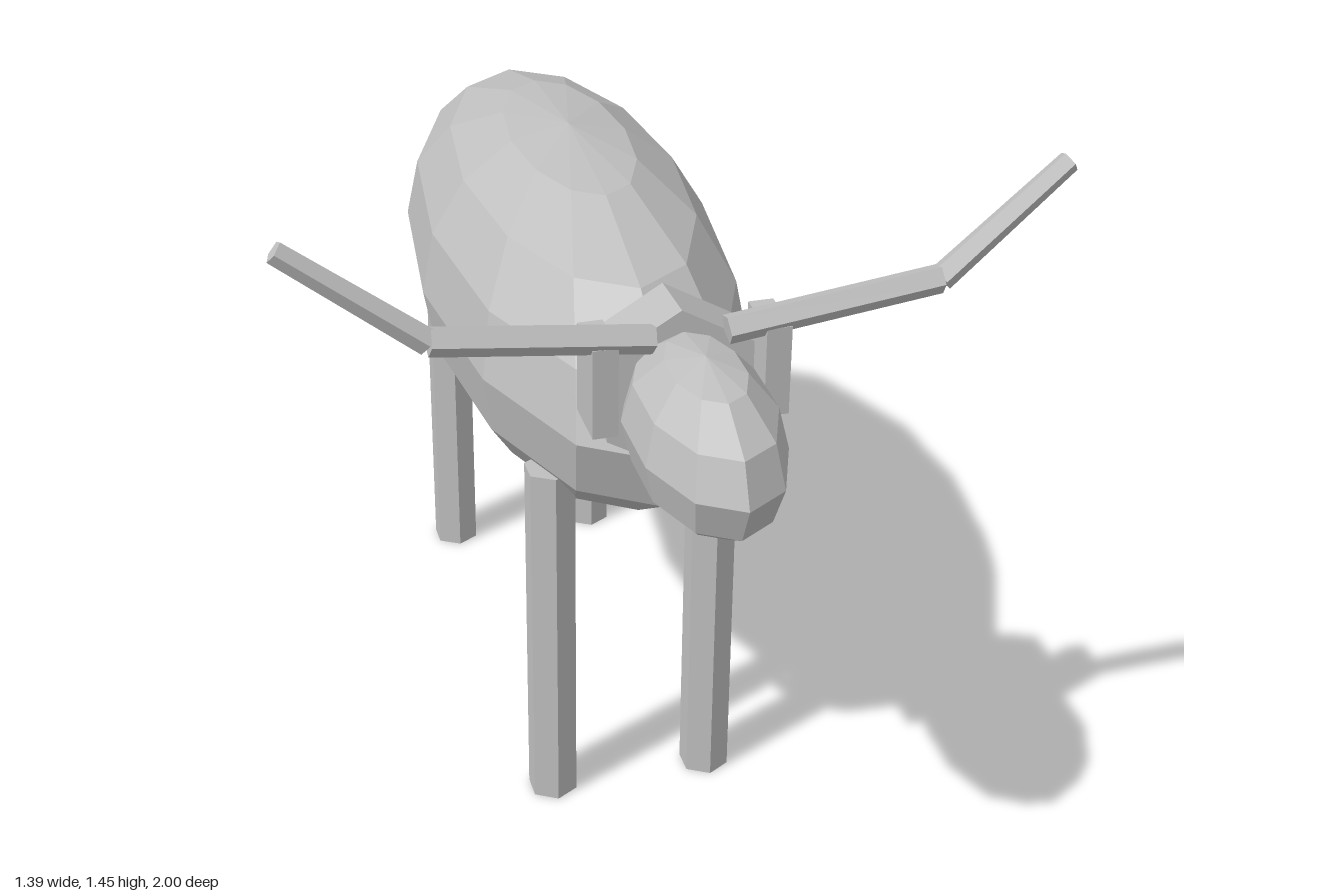
import * as THREE from 'three';

export function createModel() {
  const model = new THREE.Group();
  model.name = 'hornedAnimal';
  const grey = new THREE.MeshStandardMaterial({ color: 0xbfbfbf });
  grey.name = 'grey';
  grey.flatShading = true;

  const add = (name, geometry, x = 0, y = 0, z = 0) => {
    const mesh = new THREE.Mesh(geometry, grey);
    mesh.name = name;
    mesh.position.set(x, y, z);
    model.add(mesh);
    return mesh;
  };

  // Straight faceted rod between two points
  const rod = (name, from, to, r0, r1, sides) => {
    const a = new THREE.Vector3(...from), b = new THREE.Vector3(...to);
    const dir = b.clone().sub(a);
    const mesh = add(name, new THREE.CylinderGeometry(r1, r0, dir.length(), sides));
    mesh.position.copy(a).add(b).multiplyScalar(0.5);
    mesh.quaternion.setFromUnitVectors(new THREE.Vector3(0, 1, 0), dir.normalize());
    return mesh;
  };

  // Body and head: stretched low-poly spheres
  add('body', new THREE.SphereGeometry(1, 12, 8).scale(0.302, 0.335, 0.75), 0, 0.905, -0.175);
  add('head', new THREE.SphereGeometry(1, 10, 6).rotateY(Math.PI / 2).scale(0.13, 0.15, 0.25), 0, 1.065, 0.75);

  // Neck: short hexagonal prism with a ridge on top
  const neck = add('neck', new THREE.CylinderGeometry(0.155, 0.155, 0.12, 6).rotateX(Math.PI / 2), 0, 1.07, 0.56);
  neck.rotation.x = -0.06;

  // Tail
  rod('tail', [0, 0.95, -0.915], [0, 0.447, -0.975], 0.024, 0.024, 6);

  for (const [side, s] of [['left', 1], ['right', -1]]) {
    // Legs
    add(side + 'FrontLeg', new THREE.CylinderGeometry(0.05, 0.05, 0.76, 6), s * 0.16, 0.38, 0.305);
    add(side + 'BackLeg', new THREE.CylinderGeometry(0.05, 0.05, 0.76, 6), s * 0.16, 0.38, -0.655);

    // Ears
    add(side + 'Ear', new THREE.BoxGeometry(0.045, 0.17, 0.105), s * 0.152, 1.125, 0.627);

    // Horns in two bent segments
    rod(side + 'HornBase', [s * 0.065, 1.21, 0.66], [s * 0.445, 1.257, 0.66], 0.027, 0.027, 5);
    rod(side + 'HornTip', [s * 0.445, 1.257, 0.66], [s * 0.682, 1.432, 0.622], 0.025, 0.021, 5);
  }
  return model;
}
